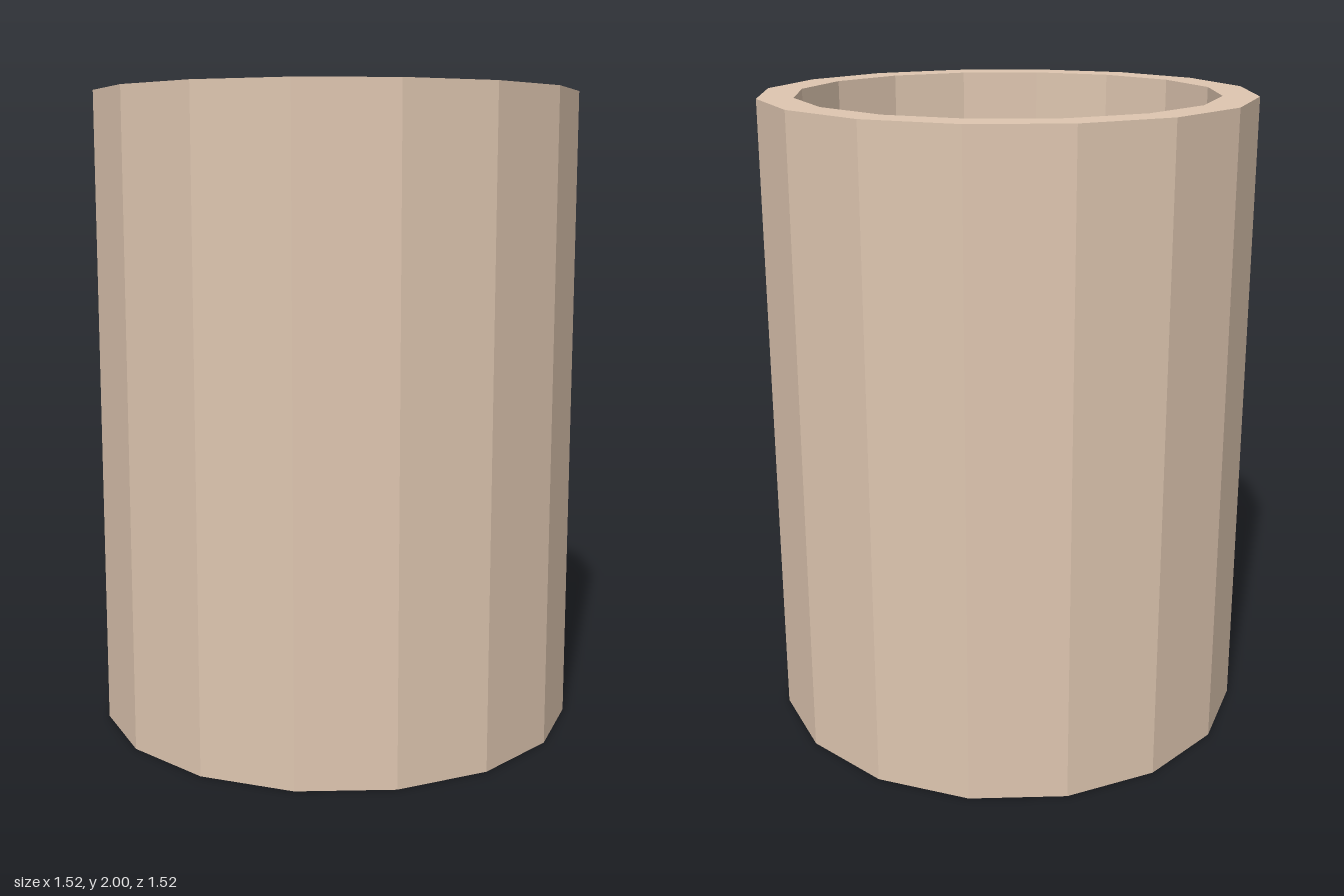
import * as THREE from 'three';

const SIDES = 16;

// Faceted solid of revolution from [radius, height] pairs
function lathe(name, profile, color) {
  const points = profile.map(([r, y]) => new THREE.Vector2(r, y));
  const material = new THREE.MeshStandardMaterial({ color, flatShading: true });
  const mesh = new THREE.Mesh(new THREE.LatheGeometry(points, SIDES), material);
  mesh.name = name;
  return mesh;
}

export function createModel() {
  const group = new THREE.Group();
  group.name = 'candle';

  // Thick-walled holder with a closed base
  group.add(lathe('holder',
    [[0, 0], [0.76, 0], [0.76, 2], [0.65, 2], [0.65, 0.12], [0, 0.12]], 0xdec6b0));

  // Wax with a melted hollow
  group.add(lathe('wax', [[0.65, 1.57], [0.42, 1.41], [0, 1.31]], 0xcccccc));

  // Bent, burnt wick with a rounded tip
  const wick = new THREE.Group();
  wick.name = 'wick';
  const black = new THREE.MeshStandardMaterial({ color: 0x0a0a0a });
  const path = new THREE.CatmullRomCurve3([
    new THREE.Vector3(-0.01, 1.27, -0.01),
    new THREE.Vector3(-0.01, 1.42, -0.01),
    new THREE.Vector3(-0.02, 1.53, -0.035),
    new THREE.Vector3(-0.055, 1.64, -0.03),
  ]);
  const stem = new THREE.Mesh(new THREE.TubeGeometry(path, 16, 0.042, 10), black);
  stem.name = 'wickStem';
  const tip = new THREE.Mesh(new THREE.SphereGeometry(0.042, 10, 8), black);
  tip.name = 'wickTip';
  tip.position.copy(path.getPoint(1));
  wick.add(stem, tip);
  group.add(wick);

  return group;
}
